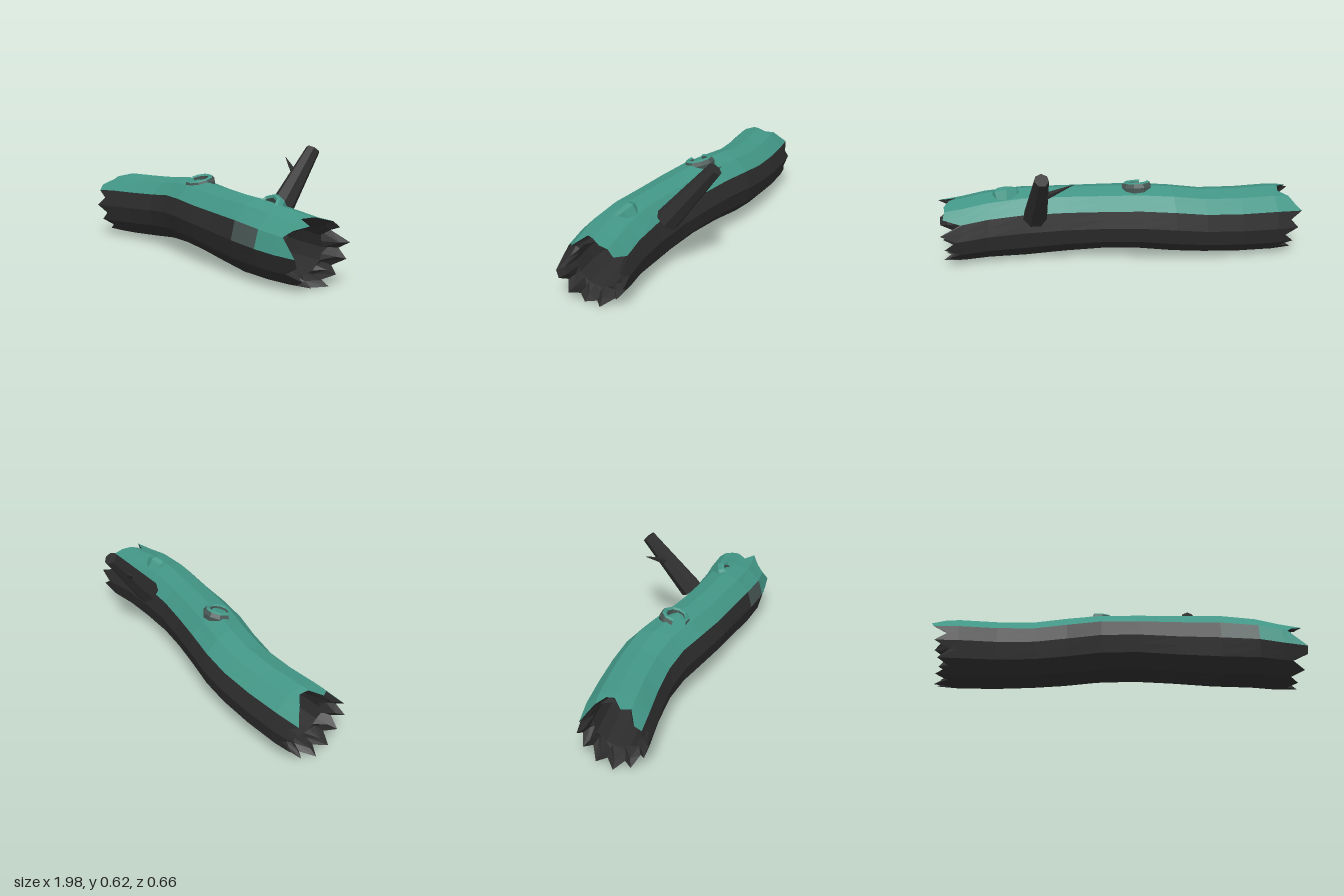
import * as THREE from 'three';

const bark = new THREE.MeshStandardMaterial({ color: 0x2d2d2d });
bark.name = 'bark';
const moss = new THREE.MeshStandardMaterial({ color: 0x429686 });
moss.name = 'moss';
const lichen = new THREE.MeshStandardMaterial({ color: 0x475653 });
lichen.name = 'lichen';

// Log outline along its length: x, zMin, zMax, yMin, yMax
const OUTLINE = [
  [-1.0, -0.19, 0.17, 0.01, 0.365],
  [-0.85, -0.21, 0.16, 0.01, 0.38],
  [-0.65, -0.22, 0.14, 0.02, 0.385],
  [-0.45, -0.22, 0.135, 0.035, 0.395],
  [-0.28, -0.205, 0.16, 0.045, 0.415],
  [-0.1, -0.165, 0.21, 0.055, 0.418],
  [0.1, -0.115, 0.25, 0.05, 0.408],
  [0.3, -0.07, 0.275, 0.03, 0.403],
  [0.52, -0.045, 0.31, 0.01, 0.4],
  [0.72, -0.04, 0.33, 0.01, 0.38],
  [0.85, -0.05, 0.32, 0.01, 0.36],
  [1.0, -0.065, 0.305, 0.01, 0.35],
];
const COLS = 24;
// Splinter reach around each end; starts at the front and runs over the top
const RIGHT_END = [.98, .93, .88, .91, .98, .88, .92, .95, .95, .96, .87, .98,
  .9, .96, .88, .94, .88, .97, .9, .95, .9, .97, .9, .98];
const LEFT_END = [.97, .91, .98, .995, .92, .95, .89, .88, .93, .96, .995, .93,
  .97, .9, .95, .88, .96, .9, .97, .9, .96, .89, .95, .89];

function outlineAt(x) {
  let k = 0;
  while (k < OUTLINE.length - 2 && x > OUTLINE[k + 1][0]) k++;
  const a = OUTLINE[k], b = OUTLINE[k + 1];
  const t = (x - a[0]) / (b[0] - a[0]);
  return a.map((v, n) => v + (b[n] - v) * t);
}

// Point on a twelve-sided section, with odd columns halfway along each side
function sectionPoint(x, col, scale) {
  const [, z0, z1, y0, y1] = outlineAt(x);
  const a = (col * Math.PI * 2) / COLS;
  const r = scale * (col % 2 ? Math.cos(Math.PI / 12) : 1);
  return [x, (y0 + y1) / 2 + Math.sin(a) * r * (y1 - y0) / 2,
    (z0 + z1) / 2 + Math.cos(a) * r * (z1 - z0) / 2];
}

function flatMesh(geometry, material, name) {
  const g = geometry.index ? geometry.toNonIndexed() : geometry;
  g.computeVertexNormals();
  const m = new THREE.Mesh(g, material);
  m.name = name;
  return m;
}

// Hollow trunk: outside left to right, then back through the bore
function makeLog() {
  const xs = OUTLINE.slice(1, -1).map((o) => o[0]);
  const rows = [];
  const addRow = (xAt, scale) => rows.push({ xAt, scale });
  addRow((c) => -LEFT_END[c], 0.99);
  xs.forEach((x) => addRow(() => x, 1));
  addRow((c) => RIGHT_END[c], 0.99);
  const outerSteps = rows.length - 1;
  addRow((c) => RIGHT_END[c] - 0.04, 0.84);
  xs.slice().reverse().forEach((x) => addRow(() => x, 0.7));
  addRow((c) => -LEFT_END[c] + 0.04, 0.84);

  const parts = { bark: [], moss: [], lichen: [] };
  for (let j = 0; j < rows.length; j++) {
    for (let i = 0; i < COLS; i++) {
      const p = (row, col) => {
        const r = rows[row % rows.length];
        const c = col % COLS;
        return sectionPoint(r.xAt(c), c, r.scale);
      };
      let kind = 'bark';
      if (j < outerSteps) {
        if (i >= 2 && i < 10) kind = 'moss';
        else if (i < 2 && j >= outerSteps - 2) kind = 'moss';
        else if (i < 2 && j === outerSteps - 3) kind = 'lichen';
      }
      const a = p(j, i), b = p(j + 1, i), c = p(j + 1, i + 1), d = p(j, i + 1);
      parts[kind].push(...a, ...b, ...c, ...a, ...c, ...d);
    }
  }
  const log = new THREE.Group();
  log.name = 'hollowLog';
  const mats = { bark, moss, lichen };
  for (const kind of Object.keys(parts)) {
    const g = new THREE.BufferGeometry();
    g.setAttribute('position', new THREE.Float32BufferAttribute(parts[kind], 3));
    log.add(flatMesh(g, mats[kind], kind + 'Surface'));
  }
  return log;
}

const UP = new THREE.Vector3(0, 1, 0);

// Tapered limb between two points
function limb(from, to, r0, r1, sides, name) {
  const a = new THREE.Vector3(...from), b = new THREE.Vector3(...to);
  const dir = b.clone().sub(a);
  const m = flatMesh(new THREE.CylinderGeometry(r1, r0, dir.length(), sides), bark, name);
  m.position.copy(a).add(b).multiplyScalar(0.5);
  m.quaternion.setFromUnitVectors(UP, dir.normalize());
  return m;
}

// Broken knot hole: low ring with a mossy lip
function knot(position, axis, start, sweep, sideMaterial, name) {
  const ring = (pts) => new THREE.LatheGeometry(
    pts.map(([x, y]) => new THREE.Vector2(x, y)), 8, start, sweep);
  const g = new THREE.Group();
  g.name = name;
  g.add(flatMesh(ring([[0.075, -0.05], [0.086, 0], [0.075, 0.022]]), sideMaterial, 'knotSide'));
  g.add(flatMesh(ring([[0.075, 0.022], [0.062, 0.03], [0.05, 0.022]]), moss, 'knotLip'));
  g.add(flatMesh(ring([[0.05, 0.022], [0.045, -0.05]]), lichen, 'knotInside'));
  // Close the broken ends of the ring
  if (sweep < Math.PI * 2) {
    const shape = new THREE.Shape([[0.045, -0.05], [0.075, -0.05], [0.086, 0], [0.075, 0.022],
      [0.062, 0.03], [0.05, 0.022]].map(([x, y]) => new THREE.Vector2(x, y)));
    [start, start + sweep].forEach((angle, n) => {
      const cap = new THREE.ShapeGeometry(shape);
      if (n === 0) {
        const idx = cap.index.array;
        for (let k = 0; k < idx.length; k += 3) [idx[k], idx[k + 1]] = [idx[k + 1], idx[k]];
      }
      cap.rotateY(angle - Math.PI / 2);
      g.add(flatMesh(cap, lichen, 'knotBreak'));
    });
  }
  g.position.set(...position);
  g.quaternion.setFromUnitVectors(UP, new THREE.Vector3(...axis).normalize());
  return g;
}

export function createModel() {
  const model = new THREE.Group();
  model.name = 'fallenLog';
  model.add(makeLog());
  model.add(limb([0.47, 0.3, -0.045], [0.45, 0.61, -0.3], 0.066, 0.038, 7, 'branch'));
  model.add(limb([0.45, 0.465, -0.19], [0.28, 0.56, -0.26], 0.024, 0.001, 5, 'twig'));
  model.add(knot([-0.1, 0.405, 0.03], [0, 0.96, 0.25], -0.5, 5.3, lichen, 'middleKnot'));
  model.add(knot([0.61, 0.36, 0.14], [0, 0.75, 0.66], 0, Math.PI * 2, moss, 'frontKnot'));
  return model;
}
